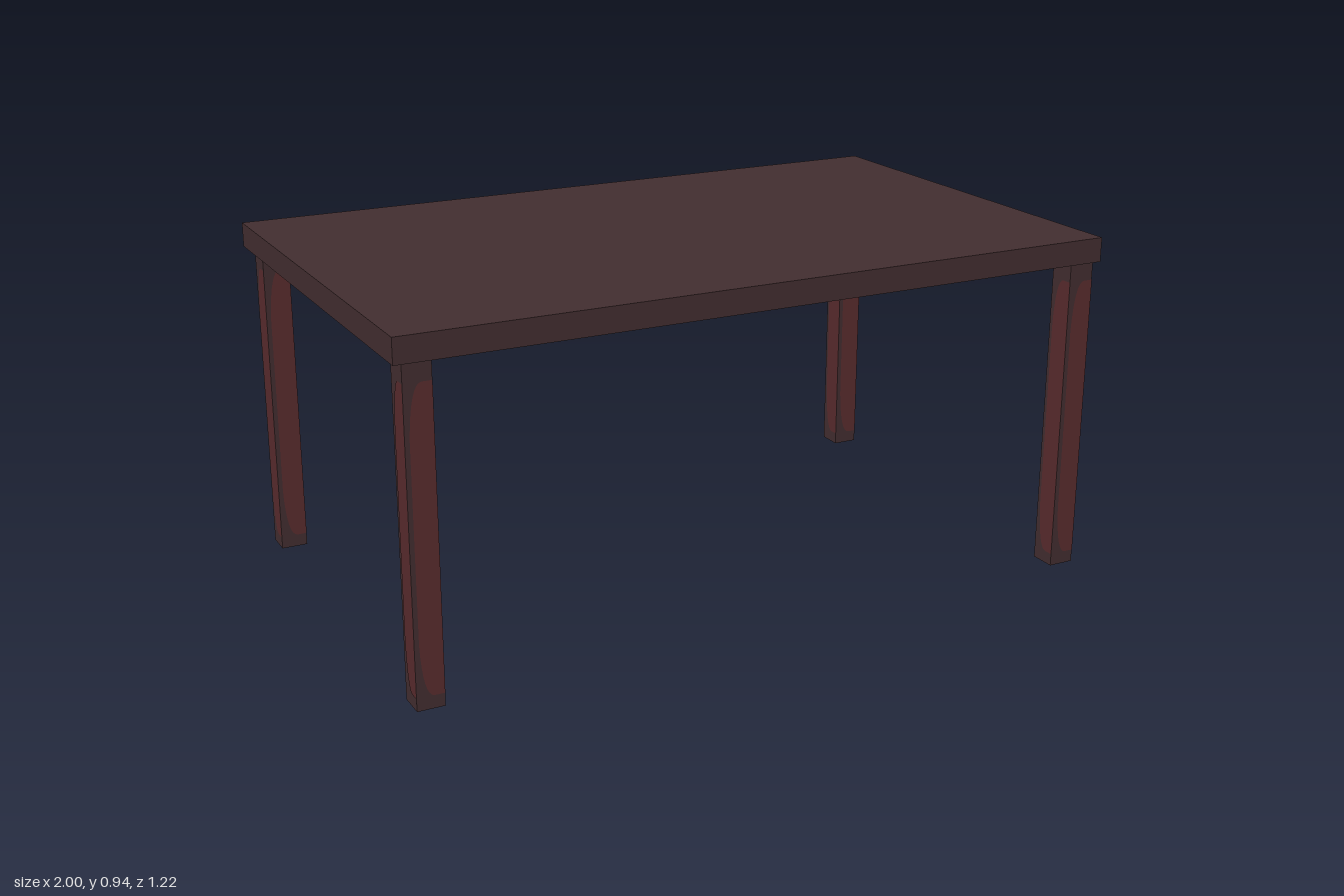
import * as THREE from 'three';

const LEG_HEIGHT = 0.875;
const LEG_WIDTH = 0.073;

// Red wood inlay: rounded towards its left edge, running out to its right edge
function inlayShape() {
  const left = -LEG_WIDTH / 2 + 0.012, right = LEG_WIDTH / 2;
  const bottom = 0.035, top = 0.825, round = 0.14;
  const s = new THREE.Shape();
  s.moveTo(right, bottom);
  s.lineTo(left + 0.035, bottom);
  s.quadraticCurveTo(left + 0.005, bottom, left, bottom + round);
  s.lineTo(left, top - round);
  s.quadraticCurveTo(left + 0.005, top, left + 0.035, top);
  s.lineTo(right, top);
  return s;
}

export function createModel() {
  const model = new THREE.Group();
  model.name = 'table';

  const darkWood = new THREE.MeshStandardMaterial({ color: 0x432e30 });
  darkWood.name = 'dark wood';
  const redWood = new THREE.MeshStandardMaterial({ color: 0x5a2c2e });
  redWood.name = 'red wood';

  // Tabletop
  const top = new THREE.Mesh(new THREE.BoxGeometry(2, 0.067, 1.222), darkWood);
  top.name = 'tabletop';
  top.position.y = LEG_HEIGHT + 0.0335;
  model.add(top);

  // Legs, each with an inlay on all four faces
  const legGeometry = new THREE.BoxGeometry(LEG_WIDTH, LEG_HEIGHT, LEG_WIDTH);
  const inlayGeometry = new THREE.ShapeGeometry(inlayShape(), 8);
  inlayGeometry.translate(0, 0, LEG_WIDTH / 2 + 0.001);

  const legs = [
    ['frontLeftLeg', 0.948, 0.563],
    ['frontRightLeg', -0.94, 0.563],
    ['backLeftLeg', 0.944, -0.565],
    ['backRightLeg', -0.94, -0.547],
  ];
  for (const [name, x, z] of legs) {
    const leg = new THREE.Group();
    leg.name = name;
    leg.position.set(x, 0, z);
    const post = new THREE.Mesh(legGeometry, darkWood);
    post.name = 'post';
    post.position.y = LEG_HEIGHT / 2;
    leg.add(post);
    for (let i = 0; i < 4; i++) {
      const inlay = new THREE.Mesh(inlayGeometry, redWood);
      inlay.name = 'inlay';
      inlay.rotation.y = i * Math.PI / 2;
      leg.add(inlay);
    }
    model.add(leg);
  }
  return model;
}
